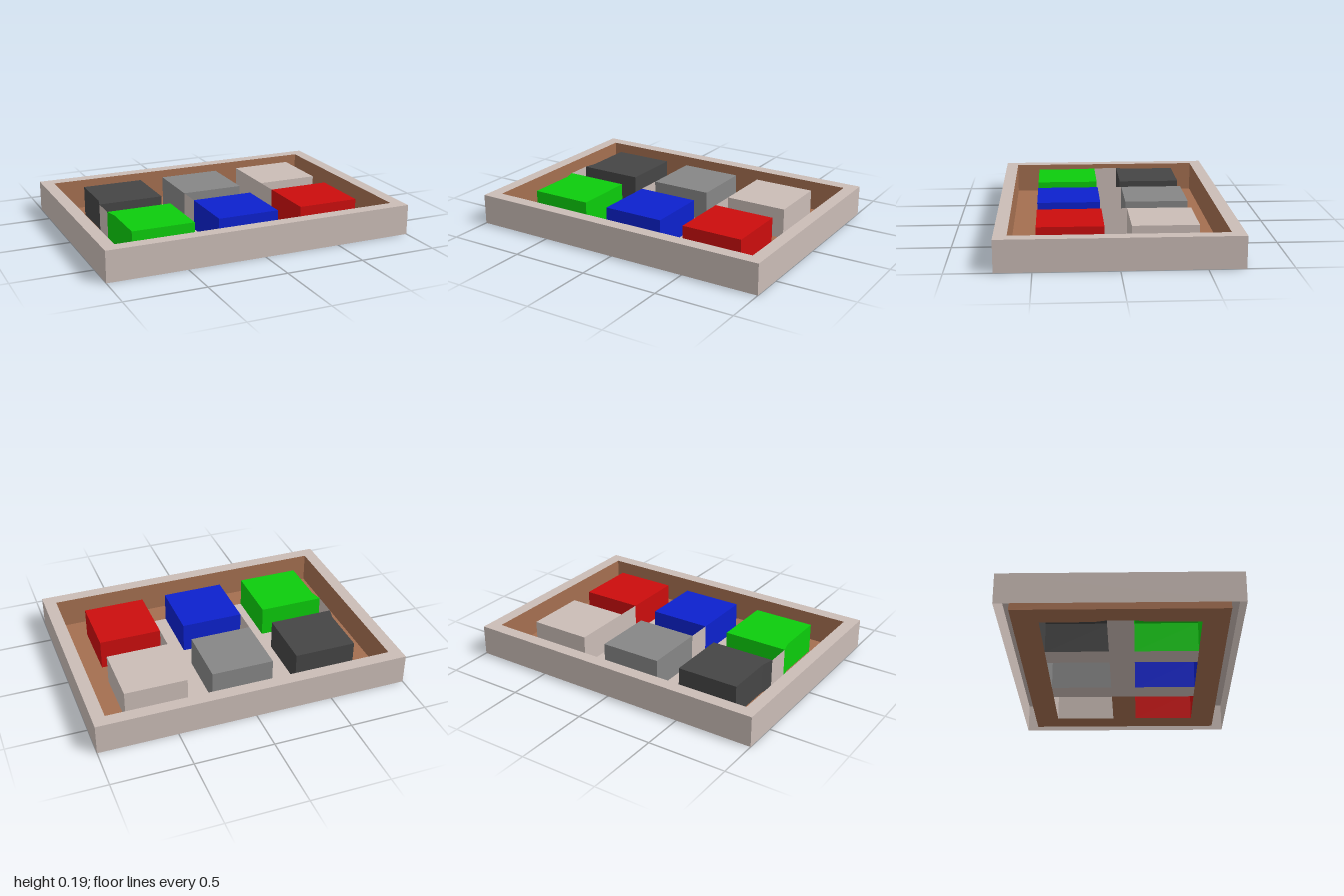
import * as THREE from 'three';

const H = 0.195; // height of the rim and blocks

const paint = (name, color) => {
  const m = new THREE.MeshStandardMaterial({ color, side: THREE.DoubleSide });
  m.name = name;
  return m;
};

// Footprints are lists of [x, z] corners
const rect = (x0, z0, x1, z1) => [[x0, z0], [x1, z0], [x1, z1], [x0, z1]];

// Flat horizontal sheet facing up, with an optional hole
function sheet(points, y, hole) {
  const to2 = (list) => list.map(([x, z]) => new THREE.Vector2(x, -z));
  const shape = new THREE.Shape(to2(points));
  if (hole) shape.holes.push(new THREE.Path(to2(hole)));
  return new THREE.ShapeGeometry(shape).rotateX(-Math.PI / 2).translate(0, y, 0);
}

// Upright wall along a footprint, open above and below
function band(points, closed = true) {
  const pos = [];
  const count = closed ? points.length : points.length - 1;
  for (let i = 0; i < count; i++) {
    const [ax, az] = points[i];
    const [bx, bz] = points[(i + 1) % points.length];
    pos.push(ax, 0, az, ax, H, az, bx, H, bz, ax, 0, az, bx, H, bz, bx, 0, bz);
  }
  const g = new THREE.BufferGeometry();
  g.setAttribute('position', new THREE.Float32BufferAttribute(pos, 3));
  g.computeVertexNormals();
  return g;
}

export function createModel() {
  const model = new THREE.Group();
  model.name = 'blockTray';
  const beige = paint('beige', 0xcabcb6);
  const brown = paint('brown', 0xa46f50);
  const charcoal = paint('charcoal', 0x454545);
  const grey = paint('grey', 0x868686);
  const green = paint('green', 0x0ccc0c);
  const blue = paint('blue', 0x0c21ce);
  const red = paint('red', 0xcb0d0d);

  const add = (name, geometry, material, parent = model) => {
    const mesh = new THREE.Mesh(geometry, material);
    mesh.name = name;
    parent.add(mesh);
  };

  // Tray: hollow rim, brown lining and floor cut out around the blocks
  const outer = rect(-1, -0.72, 1, 0.72);
  const inner = rect(-0.92, -0.64, 0.92, 0.64);
  const cutout = [
    [-0.76, -0.48], [0.76, -0.48], [0.76, -0.08], [0.36, -0.08], [0.36, 0.08], [0.76, 0.08],
    [0.76, 0.48], [-0.76, 0.48], [-0.76, 0.16], [-0.78, 0.08], [-0.78, -0.08], [-0.76, -0.16],
  ];
  add('outerWall', band(outer), beige);
  add('rimTop', sheet(outer, H, inner), beige);
  add('innerLining', band([...inner].reverse()), brown);
  add('floor', sheet(inner, 0, cutout), brown);

  // Beige floor between the blocks
  for (const x of [-0.36, 0.2]) add('columnGapFloor', sheet(rect(x, -0.48, x + 0.16, 0.48), 0), beige);
  for (const [x0, x1] of [[-0.78, -0.36], [-0.2, 0.2]]) {
    add('rowGapFloor', sheet(rect(x0, -0.08, x1, 0.08), 0), beige);
  }

  // Thin dividers bridging the two rows
  for (const x of [-0.78, -0.2, 0.36]) add('divider', band([[x, 0.08], [x, -0.08]], false), beige);

  // Blocks, open underneath; the right-hand pair flare out to meet their divider
  const backFlared = [[-0.76, -0.48], [-0.36, -0.48], [-0.36, -0.08], [-0.78, -0.08], [-0.76, -0.16]];
  const frontFlared = backFlared.map(([x, z]) => [x, -z]).reverse();
  const blocks = [
    ['charcoalBlock', charcoal, backFlared],
    ['greyBlock', grey, rect(-0.2, -0.48, 0.2, -0.08)],
    ['beigeBlock', beige, rect(0.36, -0.48, 0.76, -0.08)],
    ['greenBlock', green, frontFlared],
    ['blueBlock', blue, rect(-0.2, 0.08, 0.2, 0.48)],
    ['redBlock', red, rect(0.36, 0.08, 0.76, 0.48)],
  ];
  for (const [name, material, footprint] of blocks) {
    const block = new THREE.Group();
    block.name = name;
    add('sides', band(footprint), material, block);
    add('top', sheet(footprint, H), material, block);
    model.add(block);
  }
  return model;
}
